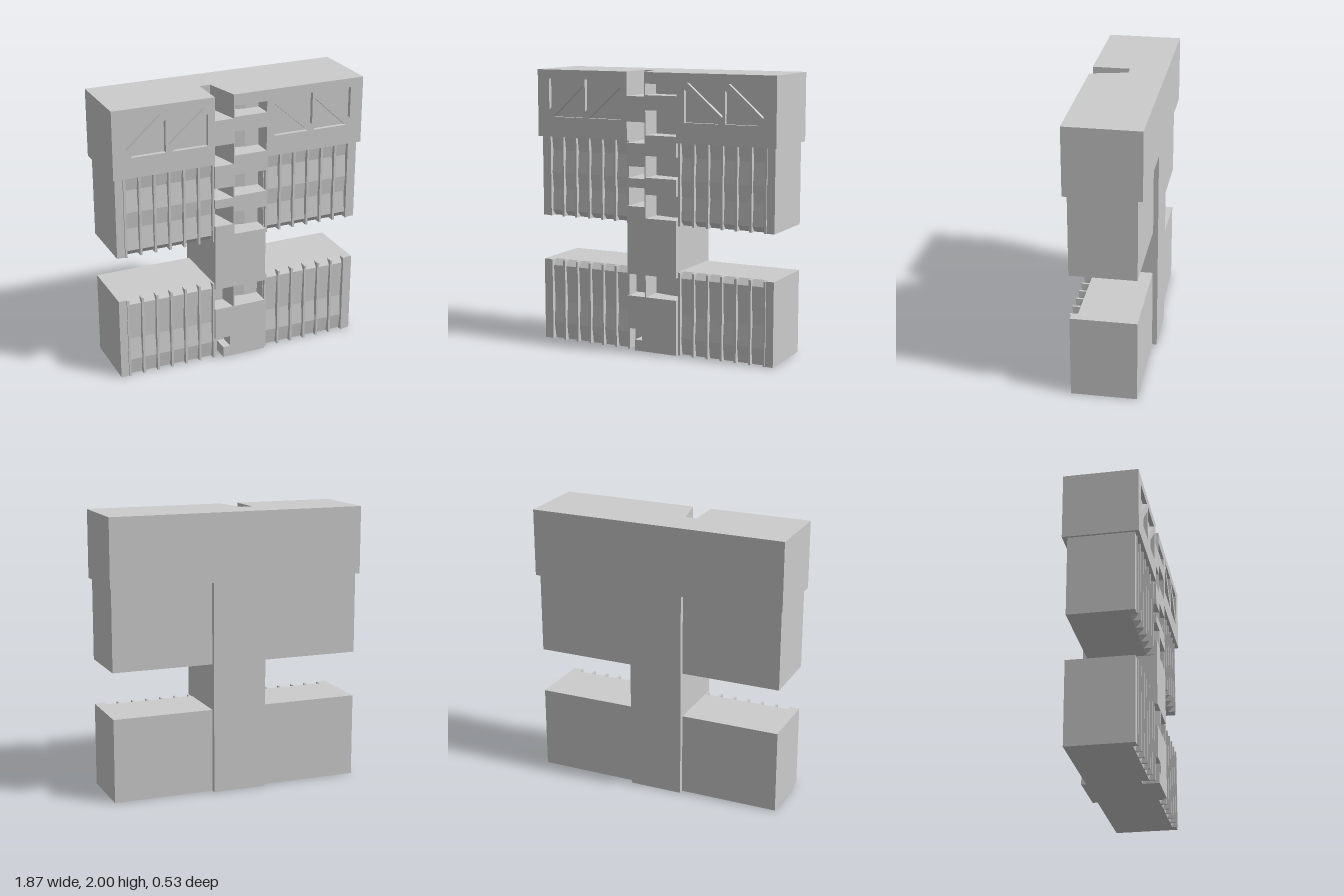
import * as THREE from 'three';

const grey = new THREE.MeshStandardMaterial({ color: 0xcccccc, flatShading: true });

function add(parent, name, geometry) {
  const mesh = new THREE.Mesh(geometry, grey);
  mesh.name = name;
  parent.add(mesh);
  return mesh;
}

// Box given by its limits
function box(parent, name, x0, x1, y0, y1, z0, z1) {
  const g = new THREE.BoxGeometry(x1 - x0, y1 - y0, z1 - z0);
  g.translate((x0 + x1) / 2, (y0 + y1) / 2, (z0 + z1) / 2);
  return add(parent, name, g);
}

const shapeOf = (pts) => new THREE.Shape(pts.map((p) => new THREE.Vector2(...p)));
const extrude = (shape, depth) => new THREE.ExtrudeGeometry(shape, { depth, bevelEnabled: false });

// Wing block: rear mass, folded facade panels, corner pier and upright ribs
function wing(side, name, profile) {
  const g = new THREE.Group();
  g.name = name;
  const inner = side > 0 ? 0.19 : 0.2, outer = 0.918;
  const span = (n, a, b, y0, y1, z0, z1) =>
    box(g, n, Math.min(side * a, side * b), Math.max(side * a, side * b), y0, y1, z0, z1);
  const y0 = profile[0][1], y1 = profile[profile.length - 1][1];
  span('mass', inner, outer, y0, y1, -0.23, 0.17);
  span('cornerPier', 0.855, outer, y0, y1, 0.17, 0.235);

  const panels = extrude(shapeOf([[0.17, y0], ...profile, [0.17, y1]]), 0.855 - inner);
  panels.rotateY(-Math.PI / 2);
  panels.translate(side > 0 ? 0.855 : -inner, 0, 0);
  add(g, 'facadePanels', panels);

  for (let i = 0; i < 7; i++) {
    const x = 0.203 + i * 0.1083;
    span('rib', x - 0.008, x + 0.008, y0, y1, 0.17, 0.245);
  }
  return g;
}

// Half of the top beam with triangular truss recesses
function beamHalf(side) {
  const g = new THREE.Group();
  g.name = side > 0 ? 'leftBeam' : 'rightBeam';
  const a = side * (side > 0 ? 0.19 : 0.2), b = side * 0.935;
  const x0 = Math.min(a, b), x1 = Math.max(a, b);
  box(g, 'beamMass', x0, x1, 1.515, 2, -0.265, 0.235);
  const face = shapeOf([[x0, 1.515], [x1, 1.515], [x1, 2], [x0, 2]]);
  const triangles = [
    [[0.25, 1.89], [0.25, 1.66], [0.51, 1.66]],
    [[0.27, 1.935], [0.54, 1.935], [0.54, 1.705]],
    [[0.558, 1.89], [0.558, 1.66], [0.807, 1.66]],
    [[0.585, 1.935], [0.84, 1.935], [0.84, 1.71]],
  ];
  for (const t of triangles) face.holes.push(shapeOf(t.map(([x, y]) => [side * x, y])));
  const plate = extrude(face, 0.03);
  plate.translate(0, 0, 0.235);
  add(g, 'trussPlate', plate);
  return g;
}

// Central tower: solid rear, front stacked in slabs with staggered niches
function tower() {
  const g = new THREE.Group();
  g.name = 'tower';
  const F = 0.265;
  box(g, 'towerRear', -0.2, 0.19, 0, 2, -F, 0);
  const deep = [[-0.2, 0], [-0.12, 0], [-0.06, F]];
  const leftNiches = [
    [0, 0.08, [[-0.2, 0], [-0.2, 0.15], [-0.14, 0.15], [-0.14, F]]],
    [0.08, 0.16, [[-0.2, 0], [-0.2, 0.15], [-0.085, 0.15], [-0.085, F]]],
    [0.4, 0.56, [[-0.2, 0], [-0.2, 0.13], [-0.085, 0.13], [-0.06, F]]],
    [1.05, 1.185, deep], [1.25, 1.335, deep], [1.5, 1.65, deep], [1.83, 2, deep],
  ];
  const recess = [[-0.052, F], [-0.052, 0.1], [0.088, 0.13], [0.19, 0.13], [0.19, 0]];
  const rightNiches = [[0.4, 0.56], [0.97, 1.14], [1.26, 1.415], [1.56, 1.735], [1.84, 1.92]]
    .map((r) => [...r, recess]);
  const levels = [...new Set([0, 2, ...[...leftNiches, ...rightNiches].flatMap((n) => [n[0], n[1]])])]
    .sort((p, q) => p - q);
  for (let i = 0; i < levels.length - 1; i++) {
    const y0 = levels[i], y1 = levels[i + 1], mid = (y0 + y1) / 2;
    const find = (list) => list.find((n) => n[0] < mid && mid < n[1])?.[2];
    const left = find(leftNiches) ?? [[-0.2, 0], [-0.2, F]];
    const right = find(rightNiches) ?? [[0.19, F], [0.19, 0]];
    const slab = extrude(shapeOf([...left, ...right]), y1 - y0);
    slab.rotateX(Math.PI / 2);
    slab.translate(0, y1, 0);
    add(g, 'towerSlab', slab);
  }
  return g;
}

export function createModel() {
  const model = new THREE.Group();
  model.name = 'building';
  model.add(tower());
  // Facade sections as [z, y]
  const lower = [[0.205, 0], [0.225, 0.12], [0.21, 0.28], [0.225, 0.555], [0.19, 0.6]];
  const upper = [[0.19, 0.93], [0.225, 0.97], [0.212, 1.13], [0.225, 1.25], [0.21, 1.41], [0.225, 1.515]];
  for (const side of [1, -1]) {
    const label = side > 0 ? 'left' : 'right';
    model.add(beamHalf(side));
    model.add(wing(side, label + 'UpperWing', upper));
    model.add(wing(side, label + 'LowerWing', lower));
  }
  return model;
}
